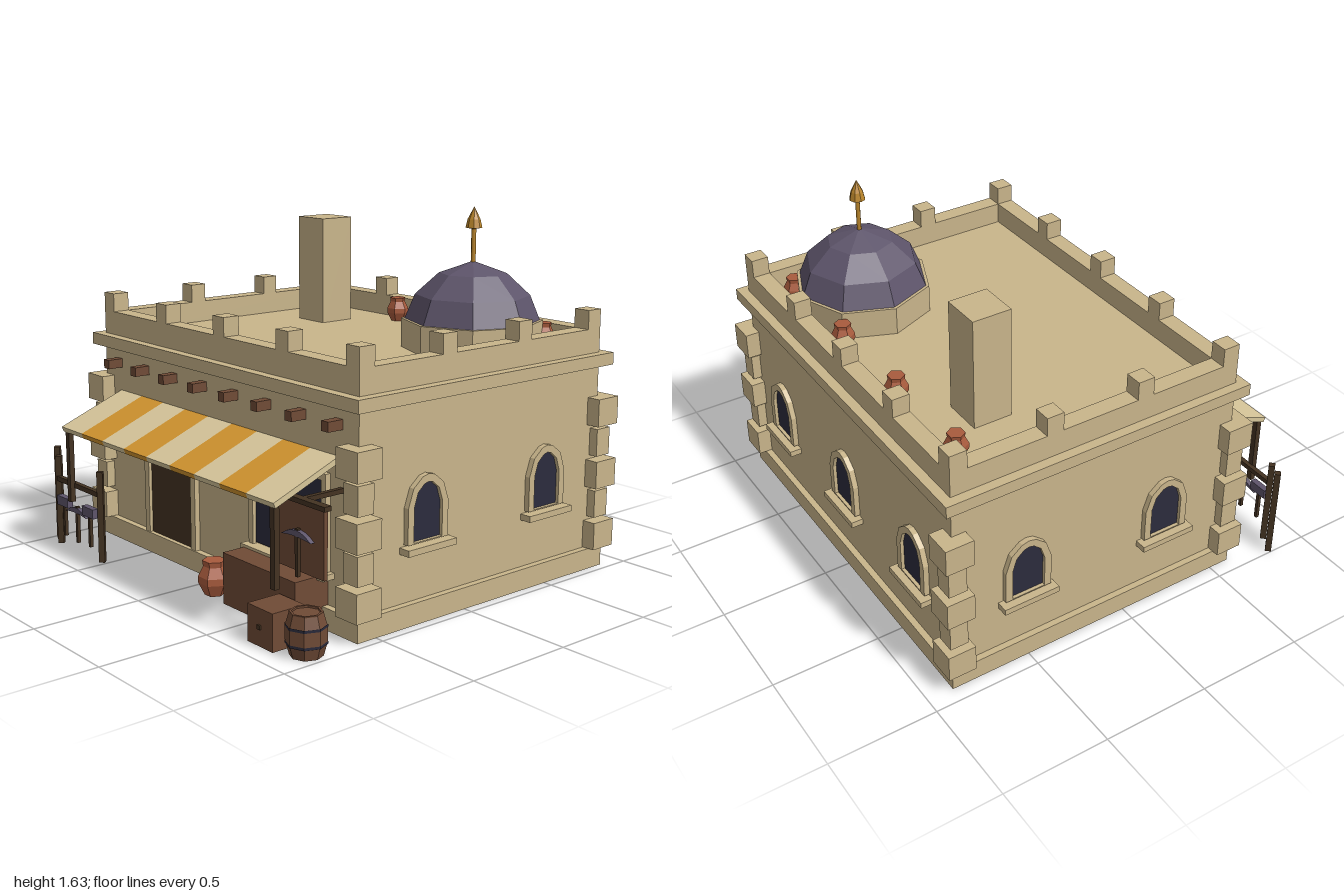
import * as THREE from 'three';

const mat = (name, color) => {
  const m = new THREE.MeshStandardMaterial({ color });
  m.name = name;
  return m;
};
const M = {
  wall: mat('sandstone', 0xc9b58b),
  cream: mat('cream cloth', 0xd8c79b),
  orange: mat('orange cloth', 0xd0932f),
  slate: mat('slate', 0x5e556b),
  glass: mat('dark window', 0x2c2c3d),
  dark: mat('dark wood', 0x443322),
  wood: mat('wood', 0x704b36),
  clay: mat('clay', 0xa95b3d),
  gold: mat('gold', 0xbb862b),
};

// Body extents
const X0 = -0.9, X1 = 0.93, Z0 = -0.85, Z1 = 0.57;
const CX = (X0 + X1) / 2, CZ = (Z0 + Z1) / 2, W = X1 - X0, D = Z1 - Z0;
const ROOF = 1.0;

export function createModel() {
  const root = new THREE.Group();
  root.name = 'desertShop';

  const add = (name, geo, m, x = 0, y = 0, z = 0, parent = root) => {
    const mesh = new THREE.Mesh(geo, m);
    mesh.name = name;
    mesh.position.set(x, y, z);
    parent.add(mesh);
    return mesh;
  };
  const box = (name, m, w, h, d, x, y, z, parent) =>
    add(name, new THREE.BoxGeometry(w, h, d), m, x, y, z, parent);
  // Box given by its two corners
  const span = (name, m, x0, x1, y0, y1, z0, z1, parent) =>
    box(name, m, x1 - x0, y1 - y0, z1 - z0, (x0 + x1) / 2, (y0 + y1) / 2, (z0 + z1) / 2, parent);
  // Faceted turned form
  const turned = (name, m, pts, sides, x, y, z, parent) => {
    const g = new THREE.LatheGeometry(pts.map(p => new THREE.Vector2(...p)), sides).toNonIndexed();
    g.computeVertexNormals();
    return add(name, g, m, x, y, z, parent);
  };
  const group = (name, x = 0, y = 0, z = 0, ry = 0) => {
    const g = new THREE.Group();
    g.name = name;
    g.position.set(x, y, z);
    g.rotation.y = ry;
    root.add(g);
    return g;
  };
  const extrude = (shape, depth) =>
    new THREE.ExtrudeGeometry(shape, { depth, bevelEnabled: false, curveSegments: 6 });

  // Walls, plinth and cornice
  span('walls', M.wall, X0, X1, 0, ROOF, Z0, Z1);
  box('plinth', M.wall, W + 0.06, 0.095, D + 0.06, CX, 0.0475, CZ);
  box('cornice', M.wall, W + 0.09, 0.055, D + 0.09, CX, 0.963, CZ);

  // Parapet with merlons
  const T = 0.08;
  for (const z of [Z0 + T / 2, Z1 - T / 2]) box('parapet', M.wall, W, 0.12, T, CX, 1.04, z);
  for (const x of [X0 + T / 2, X1 - T / 2]) box('parapet', M.wall, T, 0.12, D - 2 * T, x, 1.04, CZ);
  for (let i = 0; i < 5; i++)
    for (let j = 0; j < 4; j++) {
      if (i % 4 && j % 3) continue;
      box('merlon', M.wall, T, 0.085, T,
        X0 + T / 2 + i * (W - T) / 4, 1.1425, Z0 + T / 2 + j * (D - T) / 3);
    }

  // Corner stones, alternating large and small
  for (const x of [X0, X1]) for (const z of [Z0, Z1])
    for (let i = 0; i < 5; i++) {
      const s = i % 2 ? 0.085 : 0.13;
      box('cornerStone', M.wall, s, 0.125, s, x, 0.16 + i * 0.1425, z);
    }

  // Beam ends above the awning
  for (let i = 0; i < 8; i++)
    box('beamEnd', M.wood, 0.042, 0.042, 0.1, -0.78 + i * 0.2275, 0.863, 0.595);

  // Arched openings
  const arch = (C, w, y0, spring, top) => {
    const h = top - spring;
    const pts = [[-w, y0], [w, y0], [w, spring], [0.75 * w, spring + 0.62 * h],
      [0.3 * w, spring + 0.94 * h], [0, top], [-0.3 * w, spring + 0.94 * h],
      [-0.75 * w, spring + 0.62 * h], [-w, spring]];
    return new C(pts.map(p => new THREE.Vector2(...p)));
  };
  const opening = (name, m, x, z, ry, w, y0, spring, top, rim) => {
    const g = group(name, x, 0, z, ry);
    const frame = arch(THREE.Shape, w + rim, y0 - 0.005, spring, top + rim);
    frame.holes.push(arch(THREE.Path, w, y0, spring, top));
    add('frame', extrude(frame, 0.03), M.wall, 0, 0, -0.005, g);
    add('panel', extrude(arch(THREE.Shape, w, y0, spring, top), 0.009), m, 0, 0, 0, g);
    return g;
  };
  const windowAt = (x, z, ry) => {
    const g = opening('window', M.glass, x, z, ry, 0.079, 0.35, 0.5, 0.595, 0.033);
    box('sill', M.wall, 0.27, 0.028, 0.07, 0, 0.323, 0.02, g);
  };
  for (const z of [0.215, -0.5]) {
    windowAt(X1, z, Math.PI / 2);
    windowAt(X0, z, -Math.PI / 2);
  }
  for (const x of [-0.595, 0.015, 0.63]) windowAt(x, Z0, Math.PI);
  opening('door', M.dark, -0.35, Z1, 0, 0.167, 0.095, 0.44, 0.66, 0.035);

  // Serving hatch with frame and ledge
  span('hatch', M.glass, 0.28, 0.73, 0.245, 0.62, Z1 - 0.005, Z1 + 0.008);
  for (const x of [0.265, 0.745]) box('hatchFrame', M.wall, 0.03, 0.405, 0.03, x, 0.4425, Z1 + 0.01);
  box('hatchFrame', M.wall, 0.51, 0.03, 0.03, 0.505, 0.635, Z1 + 0.01);
  span('hatchLedge', M.wall, 0.235, 0.785, 0.215, 0.24, Z1, Z1 + 0.06);

  // Striped awning on two posts
  const awning = group('awning', 0, 0.655, 0.728);
  awning.rotation.x = 0.375;
  for (let i = 0; i < 9; i++)
    box('stripe', i % 2 ? M.orange : M.cream, 0.1762, 0.025, 0.355, -0.687 + i * 0.1762, 0, 0, awning);
  for (const x of [-0.75, 0.785]) box('awningPost', M.dark, 0.028, 0.345, 0.025, x, 0.417, 0.873);

  // Dome with finial
  const dome = group('dome', 0.525, 0, -0.455);
  turned('domeDrum', M.wall, [[0.315, ROOF], [0.315, 1.13], [0, 1.13]], 8, 0, 0, 0, dome);
  turned('domeShell', M.slate, [[0.3, 1.13], [0.255, 1.24], [0.15, 1.337], [0, 1.39]], 8, 0, 0, 0, dome);
  add('finialPole', new THREE.CylinderGeometry(0.011, 0.011, 0.18, 6), M.gold, 0, 1.46, 0, dome);
  turned('finialTip', M.gold, [[0, 1.53], [0.037, 1.537], [0.028, 1.575], [0, 1.63]], 8, 0, 0, 0, dome);

  // Chimney
  span('chimney', M.wall, -0.585, -0.4, ROOF - 0.02, 1.51, -0.545, -0.365);

  // Clay jars on the roof and by the counter
  const jar = (x, y, z, s) => {
    const j = turned('jar', M.clay, [[0, 0], [0.043, 0], [0.07, 0.055], [0.07, 0.085], [0.048, 0.13],
      [0.052, 0.155], [0, 0.155]], 6, x, y, z);
    j.scale.setScalar(s);
    j.rotation.y = Math.PI / 6;
  };
  for (let i = 0; i < 4; i++) jar(-0.7 + i * 0.477, ROOF, -0.7, 0.74);
  jar(0.14, 0, 0.7, 1);

  // Counter, crate and barrel
  span('counter', M.wood, 0.26, 0.745, 0, 0.228, Z1, 0.74);
  span('crate', M.wood, 0.655, 0.815, 0, 0.16, 0.75, 0.91);
  box('crateKnob', M.dark, 0.018, 0.018, 0.012, 0.733, 0.082, 0.912);
  const barrel = group('barrel', 0.912, 0, 0.82);
  turned('staves', M.wood, [[0, 0], [0.068, 0], [0.084, 0.06], [0.084, 0.12], [0.068, 0.175],
    [0.068, 0.18], [0.058, 0.18], [0.058, 0.172], [0, 0.172]], 8, 0, 0, 0, barrel);
  for (const y of [0.055, 0.125])
    turned('hoop', M.glass, [[0.085, y - 0.006], [0.086, y + 0.006]], 8, 0, 0, 0, barrel);

  // Tools: handle with a curved pick or a block hammer head
  const tool = (name, x, top, z, len, isPick) => {
    const g = group(name, x, top, z);
    box('handle', M.dark, 0.016, len, 0.016, 0, -len / 2, 0, g);
    if (isPick) {
      const s = new THREE.Shape();
      s.moveTo(-0.09, -0.04);
      s.quadraticCurveTo(0, 0.025, 0.09, -0.04);
      s.quadraticCurveTo(0, -0.025, -0.09, -0.04);
      add('pickHead', extrude(s, 0.02), M.slate, 0, 0.002, -0.01, g);
    } else box('hammerHead', M.slate, 0.095, 0.045, 0.03, 0, -0.022, 0, g);
  };

  // Hanging sign on a bracket
  span('signBracket', M.dark, 0.82, 0.842, 0.587, 0.607, Z1, 0.79);
  span('signArm', M.dark, 0.67, 0.99, 0.587, 0.607, 0.76, 0.795);
  span('signBoard', M.wood, 0.68, 0.98, 0.31, 0.588, 0.77, 0.788);
  tool('signPick', 0.833, 0.487, 0.798, 0.195, true);

  // Tool rack
  const post = (name, x, z, h) =>
    add(name, new THREE.CylinderGeometry(0.02, 0.02, h, 4).toNonIndexed(), M.dark, x, h / 2, z)
      .geometry.computeVertexNormals();
  post('rackPost', -0.9, 0.85, 0.43);
  post('rackPost', -0.53, 0.85, 0.43);
  post('hitchingPost', -0.98, 0.81, 0.452);
  span('rackBar', M.dark, -0.9, -0.53, 0.31, 0.333, 0.842, 0.865);
  tool('rackHammer', -0.82, 0.25, 0.87, 0.19, false);
  tool('rackPick', -0.707, 0.228, 0.87, 0.175, true);
  tool('rackHammer', -0.595, 0.25, 0.87, 0.19, false);

  return root;
}
